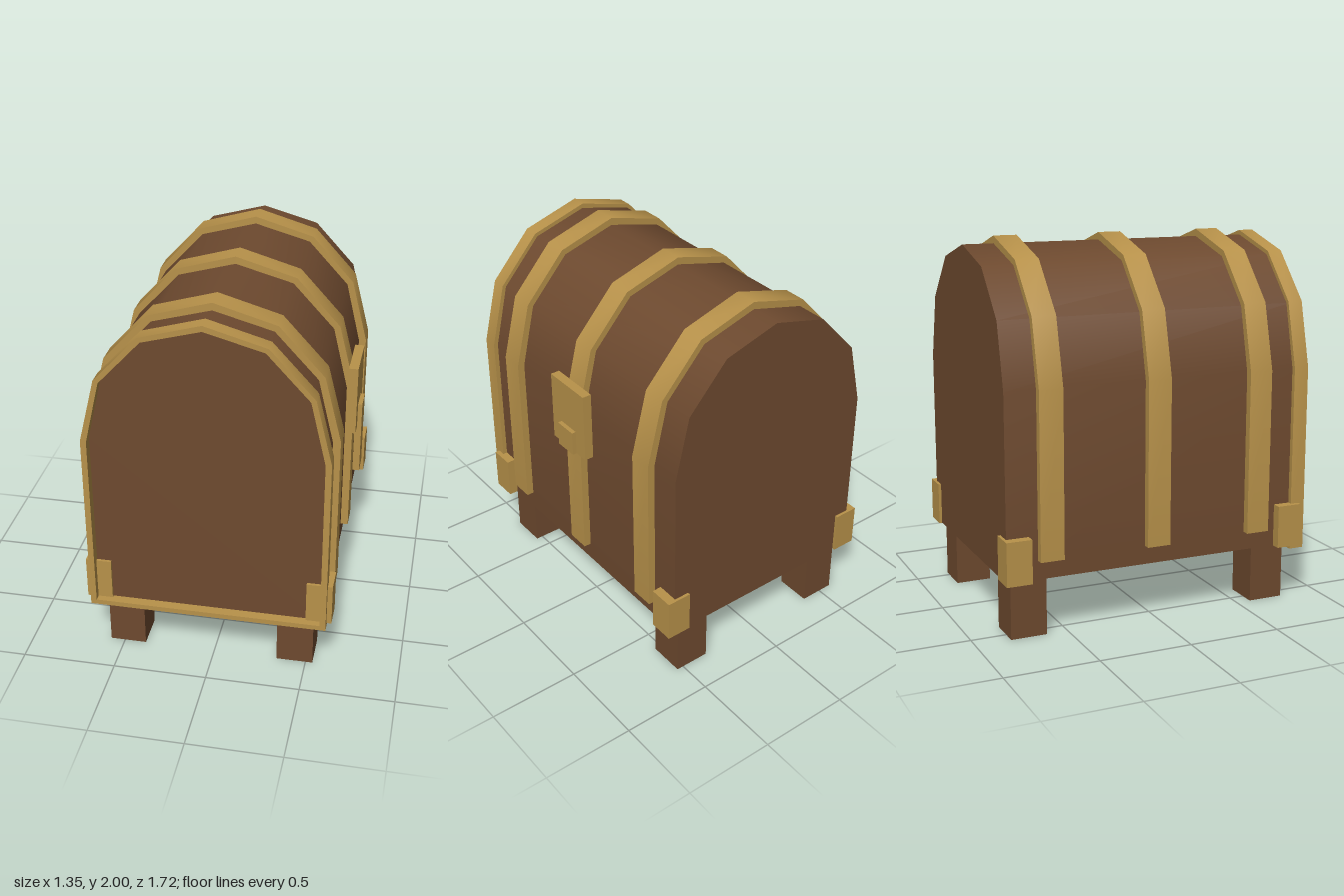
import * as THREE from 'three';
import { toCreasedNormals } from 'three/addons/utils/BufferGeometryUtils.js';

// Half of the arched cross-section: body surface, and the same corners pushed out by 0.04
const BODY = [[0.605, 1.295], [0.525, 1.635], [0.305, 1.875], [0, 1.96]];
const OUTER = [[0.645, 1.3], [0.557, 1.65], [0.325, 1.905], [0, 2.0]];

// Arch from the right foot over the top to the left foot, offset outward by d
function arch(d, bottom) {
  const t = d / 0.04;
  const half = BODY.map(([x, y], i) => new THREE.Vector2(
    x + (OUTER[i][0] - x) * t, y + (OUTER[i][1] - y) * t));
  half.unshift(new THREE.Vector2(half[0].x, bottom));
  const mirrored = half.slice(0, -1).reverse().map((p) => new THREE.Vector2(-p.x, p.y));
  return [...half, ...mirrored];
}

export function createModel() {
  const wood = new THREE.MeshStandardMaterial({ color: 0x6e4a2f });
  wood.name = 'brown wood';
  wood.side = THREE.DoubleSide;
  const brass = new THREE.MeshStandardMaterial({ color: 0xb8924a });
  brass.name = 'brass';

  const chest = new THREE.Group();
  chest.name = 'chest';
  const CX = -0.02, CZ = -0.0175;

  function add(name, geometry, material, x, y, z) {
    const mesh = new THREE.Mesh(geometry, material);
    mesh.name = name;
    mesh.position.set(x, y, z);
    chest.add(mesh);
    return mesh;
  }
  function extrude(name, shape, material, z0, z1) {
    const geo = new THREE.ExtrudeGeometry(shape, { depth: z1 - z0, bevelEnabled: false });
    return add(name, toCreasedNormals(geo, 0.7), material, CX, 0, z0);
  }

  // Body with domed lid
  extrude('body', new THREE.Shape(arch(0, 0.32)), wood, -0.845, 0.81);

  // Front frame, standing proud of the recessed end panel
  const frame = new THREE.Shape(arch(0.025, 0.295));
  frame.holes.push(new THREE.Path(arch(-0.006, 0.322).reverse()));
  extrude('frontFrame', frame, brass, 0.78, 0.862);

  // Three straps over the lid
  for (const z of [-0.6125, -0.02, 0.568]) {
    const strap = new THREE.Shape([...arch(0.04, 0.42), ...arch(-0.005, 0.42).reverse()]);
    extrude('strap', strap, brass, z - 0.064, z + 0.064);
  }

  // Corner guards and hollow legs
  for (const sx of [-1, 1]) {
    for (const sz of [-1, 1]) {
      add('cornerGuard', new THREE.BoxGeometry(0.136, 0.232, 0.136), brass,
        CX + sx * 0.588, 0.435, CZ + sz * 0.775);
      const leg = new THREE.CylinderGeometry(0.1375, 0.1375, 0.32, 4, 1, true);
      leg.rotateY(Math.PI / 4);
      add('leg', toCreasedNormals(leg, 0.5), wood, CX + sx * 0.46, 0.16, CZ + sz * 0.695);
    }
  }

  // Latch plate and hasp on the left side
  add('latchPlate', new THREE.BoxGeometry(0.05, 0.387, 0.29), brass, 0.625, 1.258, -0.02);
  add('latchHasp', new THREE.BoxGeometry(0.05, 0.135, 0.13), brass, 0.648, 1.132, -0.02);

  return chest;
}
